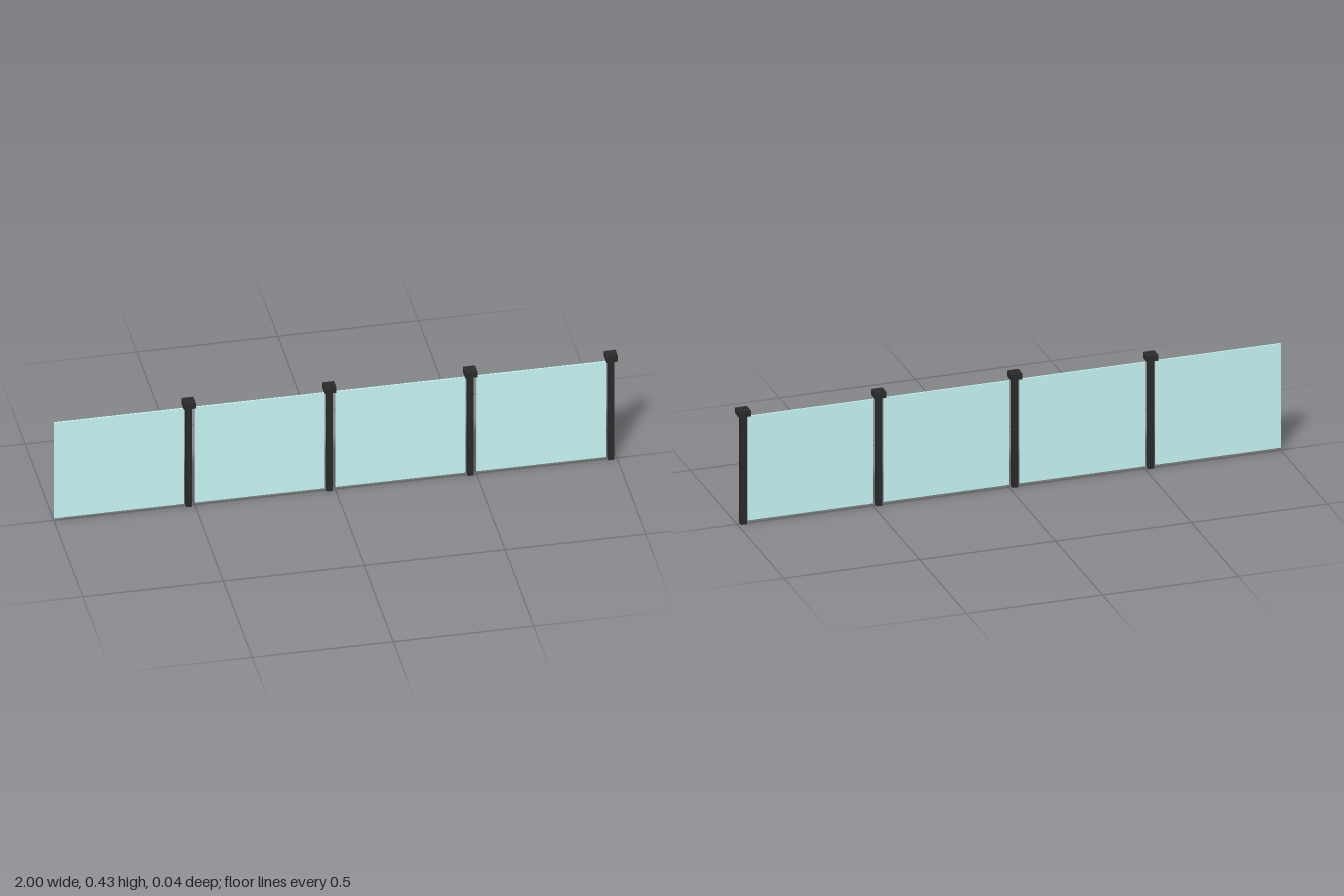
import * as THREE from 'three';

export function createModel() {
  const fence = new THREE.Group();
  fence.name = 'glassFence';

  const metal = new THREE.MeshStandardMaterial({ color: 0x2b2b2b });
  const glass = new THREE.MeshStandardMaterial({ color: 0xcaf8f8 });

  const bay = 0.5, postWidth = 0.021, capWidth = 0.043;
  const capBottom = 0.412, capHeight = 0.022;
  const panelWidth = 0.461, panelBottom = 0.01, panelTop = 0.405;

  // box standing on the given height
  const addBox = (parent, name, material, w, h, d, x, bottom) => {
    const mesh = new THREE.Mesh(new THREE.BoxGeometry(w, h, d), material);
    mesh.name = name;
    mesh.position.set(x, bottom + h / 2, 0);
    parent.add(mesh);
  };

  // four bays, each a glass panel followed by a capped post
  for (let i = 0; i < 4; i++) {
    const section = new THREE.Group();
    section.name = `fenceBay${i + 1}`;
    section.position.x = -1 + i * bay;
    const postX = bay - capWidth / 2;
    addBox(section, 'glassPanel', glass, panelWidth, panelTop - panelBottom, 0.005, panelWidth / 2, panelBottom);
    addBox(section, 'post', metal, postWidth, capBottom, postWidth, postX, 0);
    addBox(section, 'postCap', metal, capWidth, capHeight, capWidth, postX, capBottom);
    fence.add(section);
  }
  return fence;
}
